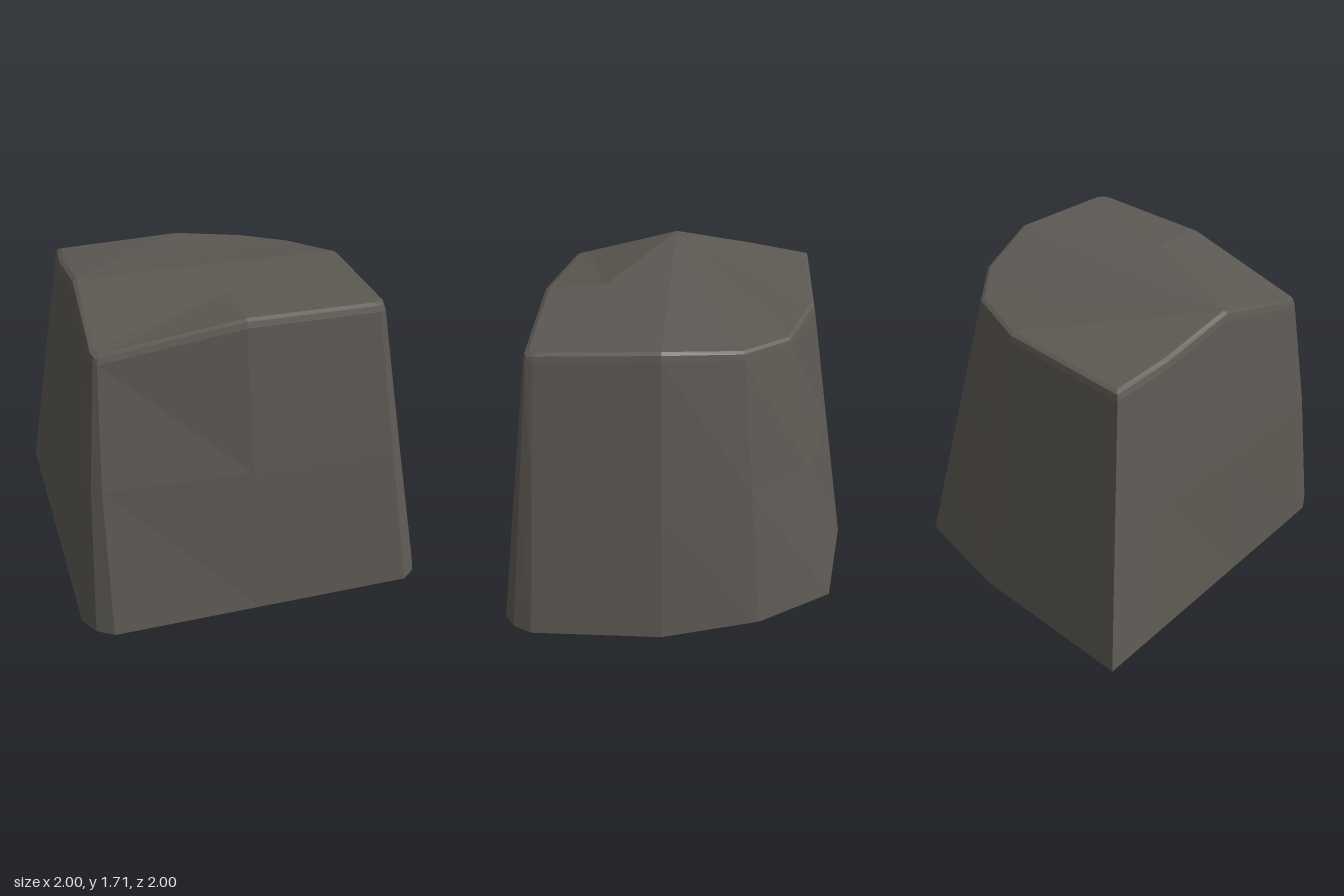
import * as THREE from 'three';

// Footprint corners [x, z] paired with rim corners [x, y, z], starting at the back
const CORNERS = [
  [[-1, -1], [-0.78, 1.595, -0.735]],
  [[0, -1], [-0.03, 1.62, -0.735]],
  [[0.6, -0.9], [0.36, 1.615, -0.59]],
  [[0.85, -0.48], [0.575, 1.645, -0.34]],
  [[1, 0.08], [0.72, 1.71, 0.08]],
  [[1, 0.83], [0.715, 1.685, 0.73]],
  [[0.95, 0.94], [0.705, 1.68, 0.77]],
  [[0.87, 1], [0.67, 1.68, 0.785]],
  [[-0.02, 1], [-0.05, 1.68, 0.785]],
  [[-0.85, 1], [-0.805, 1.545, 0.71]],
  [[-0.94, 0.94], [-0.825, 1.545, 0.695]],
  [[-1, 0.83], [-0.835, 1.55, 0.65]],
  [[-1, 0.08], [-0.815, 1.71, 0.08]],
  [[-1, -0.6], [-0.815, 1.64, -0.4]],
];
const N = CORNERS.length;

function buildStone() {
  const base = CORNERS.map(([f]) => [f[0], 0, f[1]]);
  const rim = (scale, drop) => CORNERS.map(([, t]) => [t[0] * scale, t[1] - drop, t[2] * scale]);
  const shoulder = rim(1.012, 0.045);

  // Waist ring, bulging slightly at the left front
  const waist = base.map((b, i) => {
    const s = shoulder[i], k = 0.83 / s[1];
    const bulge = i >= 9 && i <= 12 ? 0.018 : 0;
    return [b[0] + (s[0] - b[0]) * k - bulge, 0.83, b[2] + (s[2] - b[2]) * k];
  });
  const lip = rim(0.972, 0);
  const rings = [base, waist, shoulder, rim(1.0, 0.012), lip];

  const pos = [];
  const tri = (a, b, c) => pos.push(...a, ...b, ...c);

  // Walls and rounded rim
  for (let r = 0; r < rings.length - 1; r++) {
    const lo = rings[r], up = rings[r + 1];
    for (let i = 0; i < N; i++) {
      const j = (i + 1) % N;
      tri(lo[i], up[i], up[j]);
      tri(lo[i], up[j], lo[j]);
    }
  }

  // Underside
  for (let i = 1; i < 11; i++) tri(base[0], base[i], base[i + 1]);

  // Back slope of the top, fanned from the left end of the ridge
  const back = [13, 0, 1, 2, 3, 4];
  for (let i = 0; i < back.length - 1; i++) tri(lip[12], lip[back[i + 1]], lip[back[i]]);

  // Front slopes, meeting at a shallow crease point
  const crease = [-0.05, 1.695, 0.45];
  for (let i = 4; i < 12; i++) tri(crease, lip[i + 1], lip[i]);
  tri(crease, lip[4], lip[12]);

  const geo = new THREE.BufferGeometry();
  geo.setAttribute('position', new THREE.Float32BufferAttribute(pos, 3));
  geo.computeVertexNormals();
  return geo;
}

export function createModel() {
  const group = new THREE.Group();
  group.name = 'stoneBlock';
  const stone = new THREE.MeshStandardMaterial({ color: 0x5c5852, flatShading: true });
  stone.name = 'darkStone';
  const mesh = new THREE.Mesh(buildStone(), stone);
  mesh.name = 'stone';
  group.add(mesh);
  return group;
}
